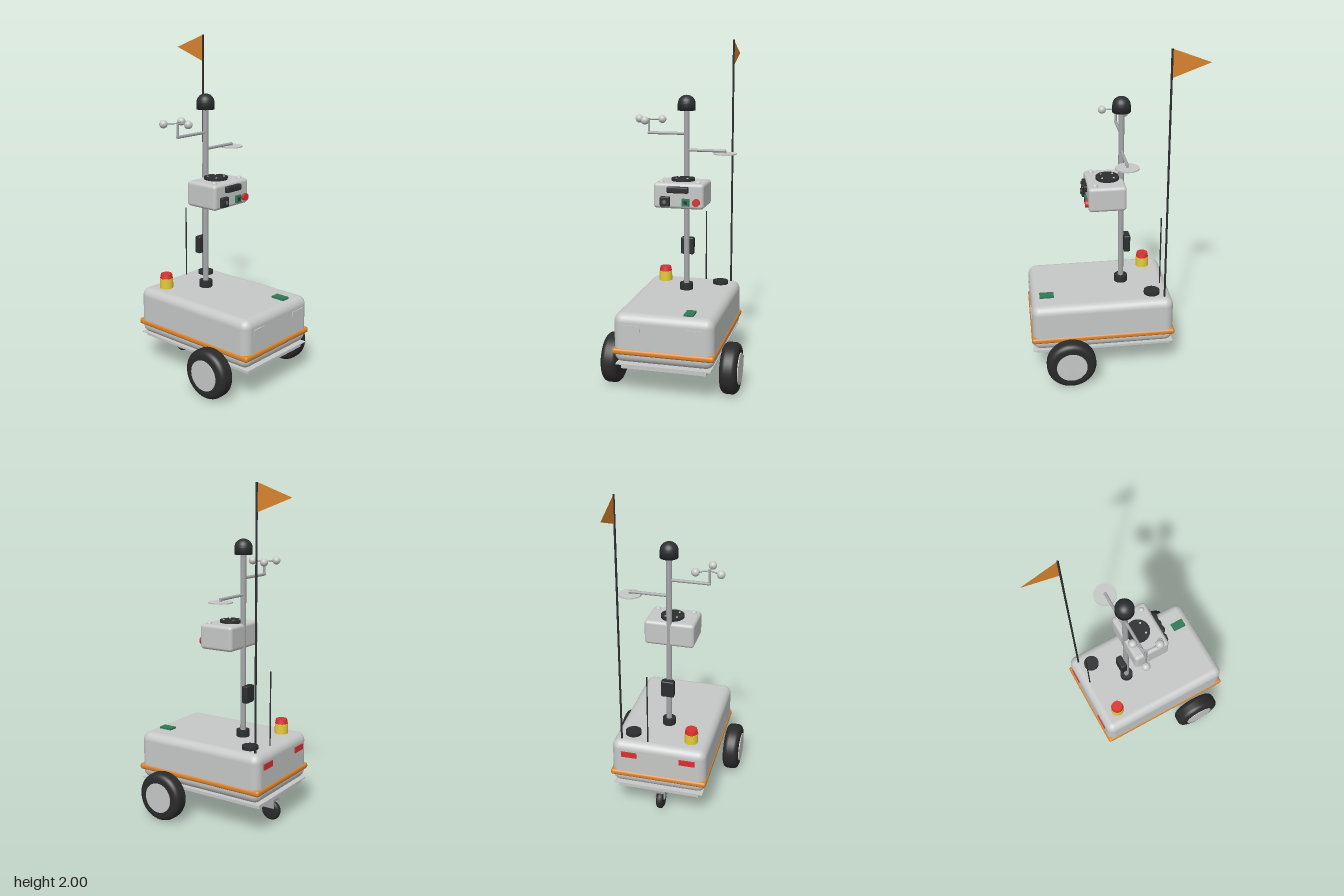
import * as THREE from 'three';
import { RoundedBoxGeometry } from 'three/addons/geometries/RoundedBoxGeometry.js';

function paint(name, color) {
  const m = new THREE.MeshStandardMaterial({ color });
  m.name = name;
  return m;
}

export function createModel() {
  const root = new THREE.Group();
  const shell = paint('light grey shell', 0xc5c8c6);
  const metal = paint('grey metal', 0xa3a6a7);
  const black = paint('black plastic', 0x2c2e30);
  const rubber = paint('tyre rubber', 0x2a2a2b);
  const orange = paint('orange', 0xda842d);
  const flagMat = paint('flag orange', 0xda842d);
  flagMat.side = THREE.DoubleSide;
  const red = paint('red', 0xd83031);
  const yellow = paint('yellow', 0xe6cc3a);
  const green = paint('green', 0x2f7a57);
  const lens = paint('lens grey', 0x6c7073);

  function add(name, geo, mat, x = 0, y = 0, z = 0) {
    const m = new THREE.Mesh(geo, mat);
    m.name = name;
    m.position.set(x, y, z);
    root.add(m);
    return m;
  }
  const box = (name, mat, w, h, d, x, y, z) => add(name, new THREE.BoxGeometry(w, h, d), mat, x, y, z);
  const rbox = (name, mat, w, h, d, r, x, y, z) => add(name, new RoundedBoxGeometry(w, h, d, 4, r), mat, x, y, z);
  // upright cylinder given by its bottom and top heights
  const post = (name, mat, r, y0, y1, x, z, seg = 32) =>
    add(name, new THREE.CylinderGeometry(r, r, y1 - y0, seg), mat, x, (y0 + y1) / 2, z);
  // round rod between two points
  function rod(name, mat, r, a, b) {
    const p = new THREE.Vector3(...a), q = new THREE.Vector3(...b);
    const m = add(name, new THREE.CylinderGeometry(r, r, p.distanceTo(q), 12), mat);
    m.position.copy(p).lerp(q, 0.5);
    m.quaternion.setFromUnitVectors(new THREE.Vector3(0, 1, 0), q.sub(p).normalize());
    return m;
  }

  // body shell and bumper
  rbox('body', shell, 0.85, 0.29, 0.58, 0.05, 0.08, 0.35, 0);
  rbox('bumperBand', orange, 0.866, 0.037, 0.592, 0.016, 0.08, 0.275, 0);

  // underside plate with frame rails
  box('basePlate', shell, 0.85, 0.006, 0.55, 0.08, 0.199, 0);
  for (const s of [-1, 1]) box('longRail', shell, 0.82, 0.027, 0.02, 0.078, 0.183, s * 0.238);
  for (const x of [-0.322, 0.078, 0.478]) box('crossRail', shell, 0.02, 0.025, 0.47, x, 0.183, 0);

  // drive wheels: rounded tyre and flat outer hub
  const V = (x, y) => new THREE.Vector2(x, y);
  const rim = [V(0, -0.049), V(0.098, -0.049)];
  for (let i = 0; i <= 8; i++) {
    const a = -Math.PI / 2 + (i / 8) * Math.PI / 2;
    rim.push(V(0.115 + 0.033 * Math.cos(a), -0.016 + 0.033 * Math.sin(a)));
  }
  const half = rim.slice();
  for (let i = half.length - 1; i >= 0; i--) rim.push(V(half[i].x, -half[i].y));
  const tyreGeo = new THREE.LatheGeometry(rim, 48).rotateX(Math.PI / 2);
  for (const s of [-1, 1]) {
    add('driveTyre', tyreGeo, rubber, 0.285, 0.15, s * 0.351);
    add('driveHub', new THREE.CylinderGeometry(0.091, 0.091, 0.01, 40).rotateX(Math.PI / 2),
      shell, 0.285, 0.15, s * 0.4);
  }

  // caster
  const cp = [V(0, -0.022), V(0.045, -0.022), V(0.056, -0.015), V(0.061, 0), V(0.056, 0.015), V(0.045, 0.022), V(0, 0.022)];
  add('casterWheel', new THREE.LatheGeometry(cp, 32).rotateX(Math.PI / 2), rubber, -0.265, 0.063, 0);
  box('casterFork', metal, 0.068, 0.05, 0.066, -0.265, 0.151, 0);
  for (const s of [-1, 1]) box('casterForkLeg', metal, 0.068, 0.05, 0.008, -0.265, 0.112, s * 0.029);

  // end lights
  for (const s of [-1, 1]) {
    box('frontLight', shell, 0.009, 0.036, 0.095, 0.506, 0.417, s * 0.178);
    box('rearLight', red, 0.009, 0.036, 0.095, -0.346, 0.417, s * 0.178);
  }

  // deck fittings
  box('deckPanel', green, 0.085, 0.012, 0.054, 0.41, 0.5, -0.138);
  post('receiverPuck', black, 0.048, 0.49, 0.514, -0.225, -0.18);
  post('stopBase', yellow, 0.041, 0.49, 0.557, -0.225, 0.178);
  add('stopButton', new THREE.CylinderGeometry(0.034, 0.039, 0.027, 32), red, -0.225, 0.5705, 0.178);
  post('antenna', black, 0.004, 0.49, 0.94, -0.294, -0.072, 10);
  post('flagPole', black, 0.006, 0.49, 2, -0.294, -0.234, 12);
  const tri = new THREE.Shape([V(-0.294, 2), V(-0.51, 1.92), V(-0.294, 1.84)]);
  add('flag', new THREE.ShapeGeometry(tri), flagMat, 0, 0, -0.234);

  // mast, collar and top dome
  const mx = -0.06;
  post('mast', metal, 0.017, 0.49, 1.6, mx, 0);
  post('mastCollar', black, 0.04, 0.49, 0.535, mx, 0);
  const dome = [V(0, 0), V(0.053, 0), V(0.053, 0.04)];
  for (let i = 0; i <= 8; i++) {
    const a = (i / 8) * Math.PI / 2;
    dome.push(V(Math.max(0, 0.052 * Math.cos(a)), 0.042 + 0.049 * Math.sin(a)));
  }
  add('scannerDome', new THREE.LatheGeometry(dome, 40), black, mx, 1.59, 0);
  rbox('mastBox', black, 0.04, 0.105, 0.08, 0.008, -0.094, 0.762, 0);

  // wind sensor
  const wz = 0.233, wy = 1.532;
  rod('windArm', metal, 0.009, [mx, 1.453, 0], [mx, 1.453, wz + 0.006]);
  post('windPost', metal, 0.007, 1.447, 1.54, mx, wz, 16);
  for (let i = 0; i < 3; i++) {
    const a = i * Math.PI * 2 / 3;
    const x = mx + 0.083 * Math.cos(a), z = wz + 0.083 * Math.sin(a);
    rod('windSpoke', metal, 0.004, [mx, wy, wz], [x, wy, z]);
    add('windCup', new THREE.SphereGeometry(0.024, 24, 16), shell, x, wy, z);
  }

  // flat disc sensor
  rod('discArm', metal, 0.009, [mx, 1.355, 0], [mx, 1.355, -0.238]);
  post('disc', shell, 0.068, 1.336, 1.343, mx, -0.234, 40);
  post('discStem', metal, 0.007, 1.34, 1.355, mx, -0.234, 12);

  // instrument box
  rbox('instrumentBox', shell, 0.222, 0.15, 0.3, 0.02, 0.037, 1.11, 0);
  post('topSpeaker', black, 0.07, 1.18, 1.2, 0.022, 0, 40);
  for (const sx of [-1, 1]) for (const sz of [-1, 1])
    post('speakerScrew', shell, 0.006, 1.195, 1.203, 0.022 + sx * 0.034, sz * 0.034, 12);
  for (const s of [-1, 1])
    add('topKnob', new THREE.SphereGeometry(0.017, 20, 12), shell, 0.107, 1.183, s * 0.11);

  // instrument face on the +x side
  const facing = (r, h) => new THREE.CylinderGeometry(r, r, h, 28).rotateZ(Math.PI / 2);
  rbox('sensorBar', black, 0.034, 0.037, 0.127, 0.008, 0.153, 1.149, 0);
  for (const z of [-0.042, 0, 0.042]) add('barLens', facing(0.009, 0.008), black, 0.171, 1.149, z);
  rbox('camera', black, 0.028, 0.058, 0.058, 0.006, 0.155, 1.079, 0.076);
  add('cameraLens', facing(0.018, 0.01), black, 0.17, 1.079, 0.076);
  add('cameraGlass', facing(0.011, 0.004), lens, 0.174, 1.079, 0.076);
  box('portFrame', green, 0.02, 0.043, 0.044, 0.153, 1.077, -0.048);
  box('portScreen', black, 0.006, 0.02, 0.02, 0.162, 1.077, -0.048);
  add('faceButton', facing(0.022, 0.025), red, 0.153, 1.078, -0.109);

  return root;
}
